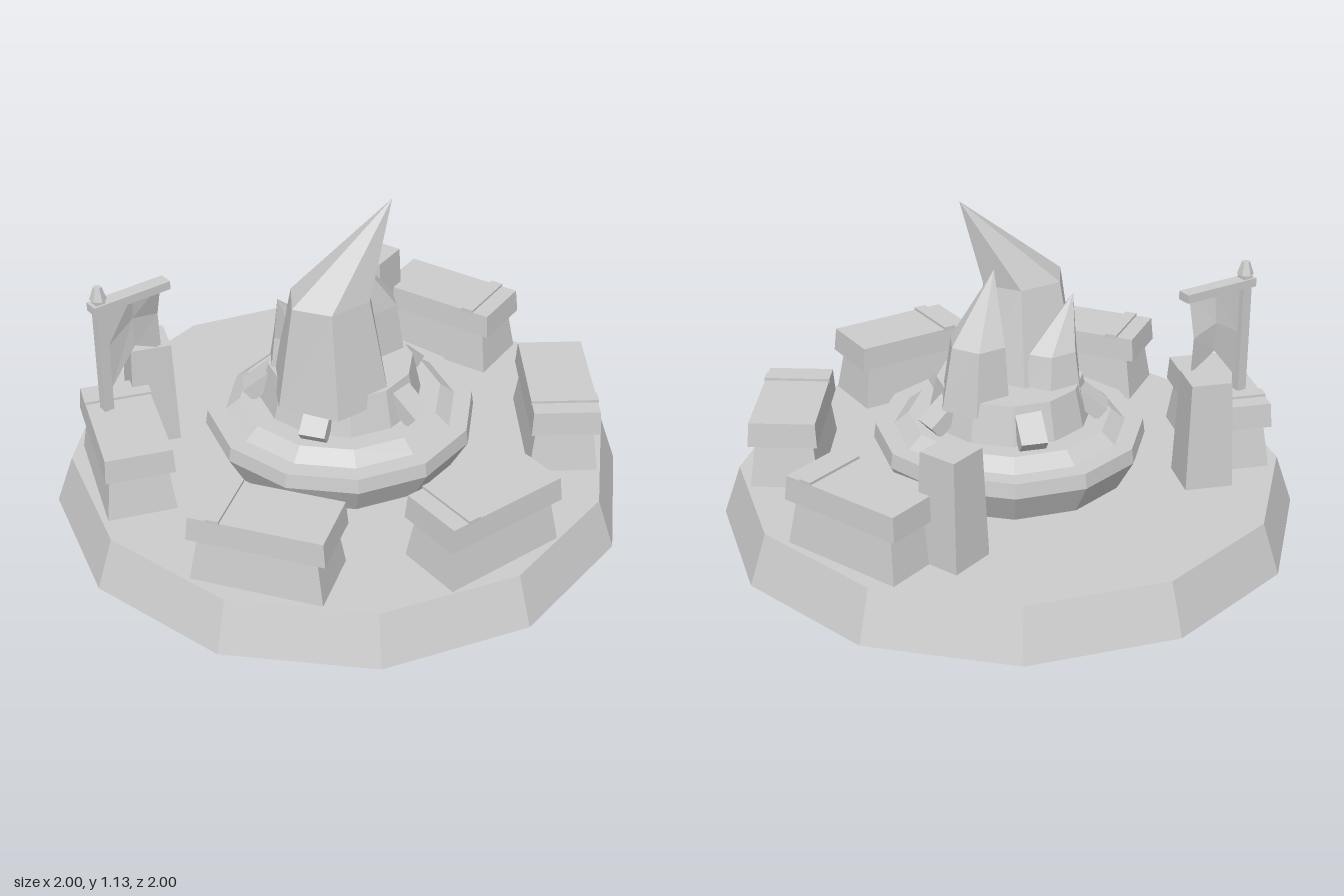
import * as THREE from 'three';

export function createModel() {
  const model = new THREE.Group();
  const stone = new THREE.MeshStandardMaterial({ color: 0xcccccc, side: THREE.DoubleSide });
  stone.name = 'grey stone';
  stone.flatShading = true;

  const GROUND = 0.175; // height of the plinth top

  const add = (parent, name, geometry) => {
    const mesh = new THREE.Mesh(geometry, stone);
    mesh.name = name;
    parent.add(mesh);
    return mesh;
  };

  // box between y0 and y1 whose top differs in size from its bottom
  function taperedBox(y0, y1, bottomW, bottomD, topW, topD) {
    const g = new THREE.BoxGeometry(1, 1, 1);
    const p = g.attributes.position;
    for (let i = 0; i < p.count; i++) {
      const top = p.getY(i) > 0;
      p.setXYZ(i, p.getX(i) * (top ? topW : bottomW), top ? y1 : y0, p.getZ(i) * (top ? topD : bottomD));
    }
    g.computeVertexNormals();
    return g;
  }

  // twelve-sided turned shape from [radius, height] pairs
  const turned = (profile) =>
    new THREE.LatheGeometry(profile.map(([r, y]) => new THREE.Vector2(r, y)), 12);

  // faceted rock: hexagonal base ring, shoulder ring and an off-centre tip
  function spire(base, shoulder, tip) {
    const pts = [];
    const ring = ({ x, y, z, rx, rz }, i) => {
      const a = (i * Math.PI) / 3;
      return [x + rx * Math.cos(a), y, z - rz * Math.sin(a)];
    };
    for (let i = 0; i < 6; i++) {
      const a = ring(base, i), b = ring(base, i + 1);
      const c = ring(shoulder, i), d = ring(shoulder, i + 1);
      pts.push(...a, ...b, ...d, ...a, ...d, ...c, ...c, ...d, ...tip);
    }
    const g = new THREE.BufferGeometry();
    g.setAttribute('position', new THREE.Float32BufferAttribute(pts, 3));
    g.computeVertexNormals();
    return g;
  }

  // hollow plinth, open underneath
  add(model, 'plinth', turned([[1, 0], [0.94, GROUND], [0, GROUND]]));

  // stepped dais: flared foot, upright rim, flat ledge, bevelled step and collar
  add(model, 'dais', turned([
    [0, GROUND - 0.002], [0.41, GROUND - 0.002], [0.47, 0.283], [0.463, 0.335], [0.4, 0.335],
    [0.35, 0.375], [0.28, 0.375], [0.25, 0.51], [0, 0.51],
  ]));

  // three bent rock spires
  add(model, 'mainSpire', spire(
    { x: -0.085, y: 0.46, z: 0.055, rx: 0.215, rz: 0.215 },
    { x: -0.095, y: 0.83, z: 0.068, rx: 0.155, rz: 0.13 }, [0.13, 1.13, 0.105]));
  add(model, 'sideSpire', spire(
    { x: 0.155, y: 0.46, z: -0.03, rx: 0.13, rz: 0.13 },
    { x: 0.145, y: 0.68, z: -0.03, rx: 0.1, rz: 0.105 }, [0.05, 0.9, 0.02]));
  add(model, 'backSpire', spire(
    { x: -0.1, y: 0.46, z: -0.1, rx: 0.125, rz: 0.11 },
    { x: -0.11, y: 0.62, z: -0.1, rx: 0.095, rz: 0.075 }, [-0.21, 0.79, -0.07]));

  // five blocks leaning outward around the rocks
  for (let i = 0; i < 5; i++) {
    const holder = new THREE.Group();
    holder.name = 'leaningBlock';
    holder.rotation.y = (i * Math.PI * 2) / 5;
    const block = add(holder, 'block', new THREE.BoxGeometry(0.14, 0.055, 0.09));
    block.position.set(0.265, 0.433, 0);
    block.rotation.z = -0.68;
    model.add(holder);
  }

  // five slab tables facing the centre
  for (const deg of [0, 55, -55, 110, -110]) {
    const table = new THREE.Group();
    table.name = 'slabTable';
    table.rotation.y = THREE.MathUtils.degToRad(deg);
    const body = add(table, 'tableBody', taperedBox(GROUND - 0.002, 0.335, 0.445, 0.235, 0.395, 0.195));
    const slab = add(table, 'tableSlab', taperedBox(0.33, 0.415, 0.46, 0.235, 0.445, 0.225));
    const strip = add(table, 'slabStrip', taperedBox(0.41, 0.424, 0.045, 0.23, 0.045, 0.23));
    for (const part of [body, slab, strip]) part.position.z = 0.755;
    strip.position.x = -0.14;
    model.add(table);
  }

  // pair of square pillars beside the rear tables
  for (const s of [1, -1]) {
    const pillar = add(model, 'pillar', taperedBox(GROUND - 0.002, 0.555, 0.165, 0.165, 0.14, 0.135));
    pillar.position.set(s * 0.497, 0, -0.447);
    pillar.rotation.y = s * THREE.MathUtils.degToRad(20);
  }

  // banner stand: pole, finial, crossbar and swallow-tailed cloth
  const stand = new THREE.Group();
  stand.name = 'bannerStand';
  stand.position.set(-0.725, 0, -0.348);
  add(stand, 'pole', new THREE.BoxGeometry(0.035, 0.45, 0.035)).position.y = 0.625;
  add(stand, 'finial', new THREE.CylinderGeometry(0.014, 0.029, 0.045, 6)).position.y = 0.867;
  const bar = add(stand, 'crossbar', new THREE.BoxGeometry(0.29, 0.03, 0.05));
  bar.position.set(0.115, 0.815, 0);

  const banner = new THREE.PlaneGeometry(1, 1, 2, 2);
  const p = banner.attributes.position;
  const hem = [0.475, 0.6, 0.545];
  for (let i = 0; i < p.count; i++) {
    const u = p.getX(i) + 0.5, drop = 0.5 - p.getY(i);
    const y = THREE.MathUtils.lerp(0.81, hem[Math.round(u * 2)], drop);
    const z = -0.012 - 0.035 * u * Math.sin(drop * 2.4);
    p.setXYZ(i, 0.03 + 0.215 * u, y, z);
  }
  banner.computeVertexNormals();
  add(stand, 'banner', banner);
  model.add(stand);

  return model;
}
